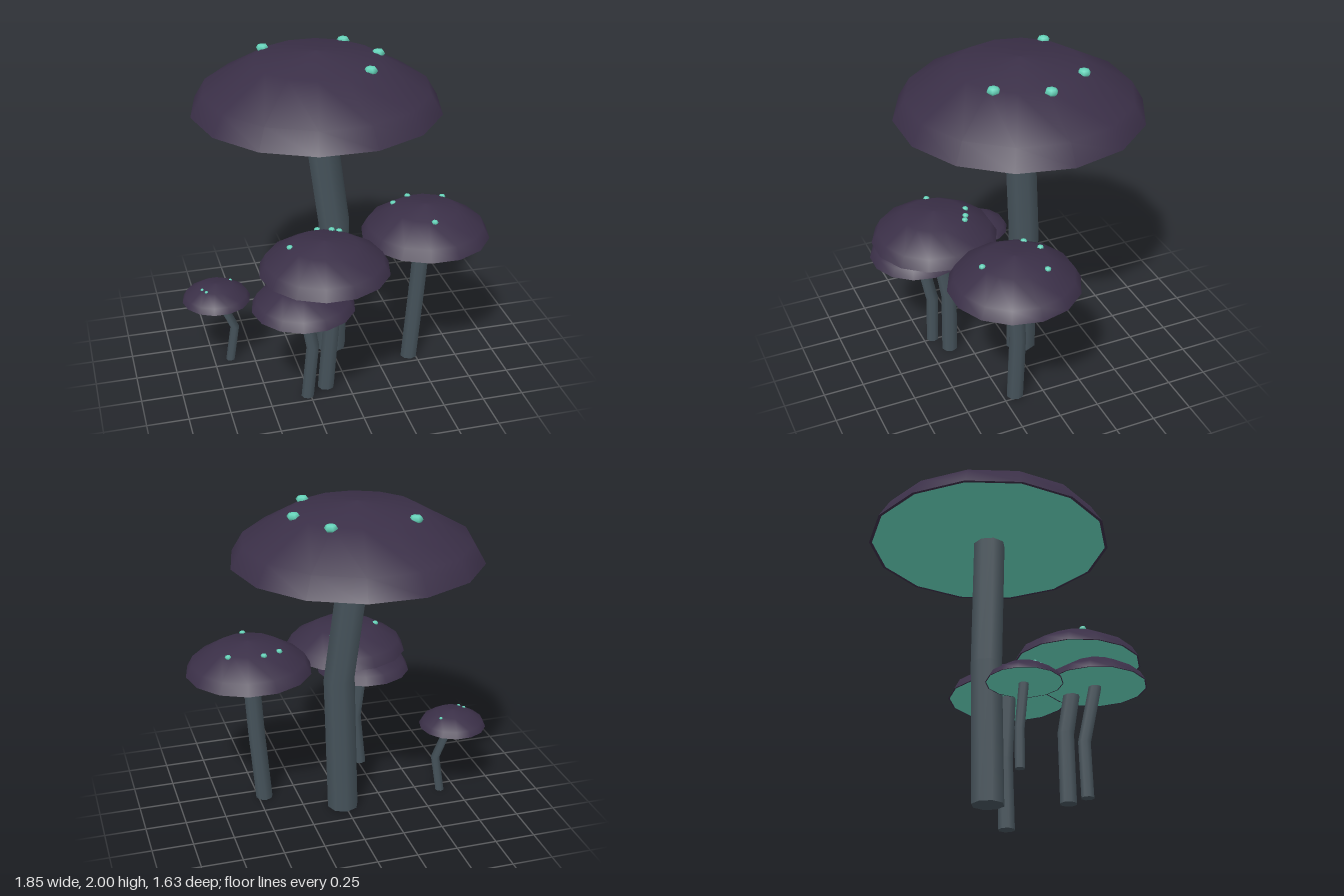
import * as THREE from 'three';

const SIDES = 14;

export function createModel() {
  const mat = (name, color) => Object.assign(new THREE.MeshStandardMaterial({ color }), { name });
  const capMat = mat('dusky purple', 0x3a2f47);
  const stemMat = mat('slate grey', 0x45525a);
  const glowMat = mat('glowing teal', 0x64d2b8);

  const add = (group, name, geometry, material) => {
    const mesh = new THREE.Mesh(geometry, material);
    mesh.name = name;
    group.add(mesh);
    return mesh;
  };

  // dome profile as fractions of radius and height, rim to crown
  const dome = [[1, 0], [0.905, 0.35], [0.5, 0.85], [0, 1]];
  const domeHeight = (t) => {
    for (let i = 1; i < dome.length; i++) {
      const [r0, h0] = dome[i - 1], [r1, h1] = dome[i];
      if (t >= r1) return h0 + (h1 - h0) * (r0 - t) / (r0 - r1);
    }
    return 1;
  };

  // stem: a cylinder whose three rings follow base, bend and top
  function stemGeometry(path, radius) {
    const geo = new THREE.CylinderGeometry(radius, radius, 2, 8, 2);
    const p = geo.attributes.position;
    for (let i = 0; i < p.count; i++) {
      const [x, y, z] = path[Math.round(p.getY(i)) + 1];
      p.setXYZ(i, p.getX(i) + x, y, p.getZ(i) + z);
    }
    geo.computeBoundingSphere();
    return geo;
  }

  function mushroom({ name, centre: [cx, cz], radius, rim, top, stem, stemRadius, spots }) {
    const g = new THREE.Group();
    g.name = name;
    const height = top - rim;

    add(g, 'stem', stemGeometry(stem, stemRadius), stemMat);

    // domed cap with a narrow lip and a coloured underside
    const profile = dome.map(([r, h]) => new THREE.Vector2(r * radius, h * height));
    add(g, 'cap', new THREE.LatheGeometry(profile, SIDES, Math.PI / 2), capMat).position.set(cx, rim, cz);
    const lip = new THREE.RingGeometry(radius * 0.975, radius, SIDES, 1).rotateX(Math.PI / 2);
    add(g, 'capLip', lip, capMat).position.set(cx, rim, cz);
    const gills = new THREE.CircleGeometry(radius * 0.975, SIDES).rotateX(Math.PI / 2);
    add(g, 'gills', gills, glowMat).position.set(cx, rim, cz);

    // small flattened spots resting on the dome
    const size = radius * 0.054;
    for (const [x, z] of spots) {
      const t = Math.hypot(x - cx, z - cz) / radius;
      const geo = new THREE.SphereGeometry(size, 6, 4).scale(1, 0.65, 1).rotateY(Math.PI / 6);
      add(g, 'spot', geo, glowMat).position.set(x, rim + height * domeHeight(t), z);
    }
    return g;
  }

  const model = new THREE.Group();
  model.name = 'mushroomCluster';
  const cluster = [
    {
      name: 'tallMushroom', centre: [-0.07, -0.09], radius: 0.745, rim: 1.66, top: 2, stemRadius: 0.098,
      stem: [[0.008, 0, -0.068], [0.033, 0.89, -0.074], [-0.073, 1.7, -0.086]],
      spots: [[-0.33, -0.36], [0.17, -0.38], [0.31, -0.11], [0.18, 0.18]],
    },
    {
      name: 'leftMushroom', centre: [0.528, 0.206], radius: 0.39, rim: 0.89, top: 1.085, stemRadius: 0.053,
      stem: [[0.462, 0, 0.172], [0.5, 0.47, 0.172], [0.522, 0.92, 0.2]],
      spots: [[0.68, 0.07], [0.52, 0.4], [0.365, 0.076], [0.473, 0.02]],
    },
    {
      name: 'middleMushroom', centre: [-0.157, 0.435], radius: 0.385, rim: 0.86, top: 1.045, stemRadius: 0.051,
      stem: [[-0.135, 0, 0.37], [-0.102, 0.44, 0.375], [-0.157, 0.89, 0.435]],
      spots: [[-0.355, 0.41], [-0.15, 0.235], [-0.03, 0.285], [-0.07, 0.265]],
    },
    {
      name: 'lowMushroom', centre: [-0.3, 0.497], radius: 0.303, rim: 0.67, top: 0.82, stemRadius: 0.039,
      stem: [[-0.266, 0, 0.44], [-0.233, 0.345, 0.442], [-0.302, 0.7, 0.5]],
      spots: [[-0.27, 0.355]],
    },
    {
      name: 'smallMushroom', centre: [-0.72, -0.063], radius: 0.21, rim: 0.46, top: 0.565, stemRadius: 0.028,
      stem: [[-0.648, 0, -0.07], [-0.614, 0.24, -0.06], [-0.716, 0.48, -0.063]],
      spots: [[-0.81, -0.03], [-0.79, 0.005], [-0.62, -0.12]],
    },
  ];
  for (const spec of cluster) model.add(mushroom(spec));
  return model;
}
